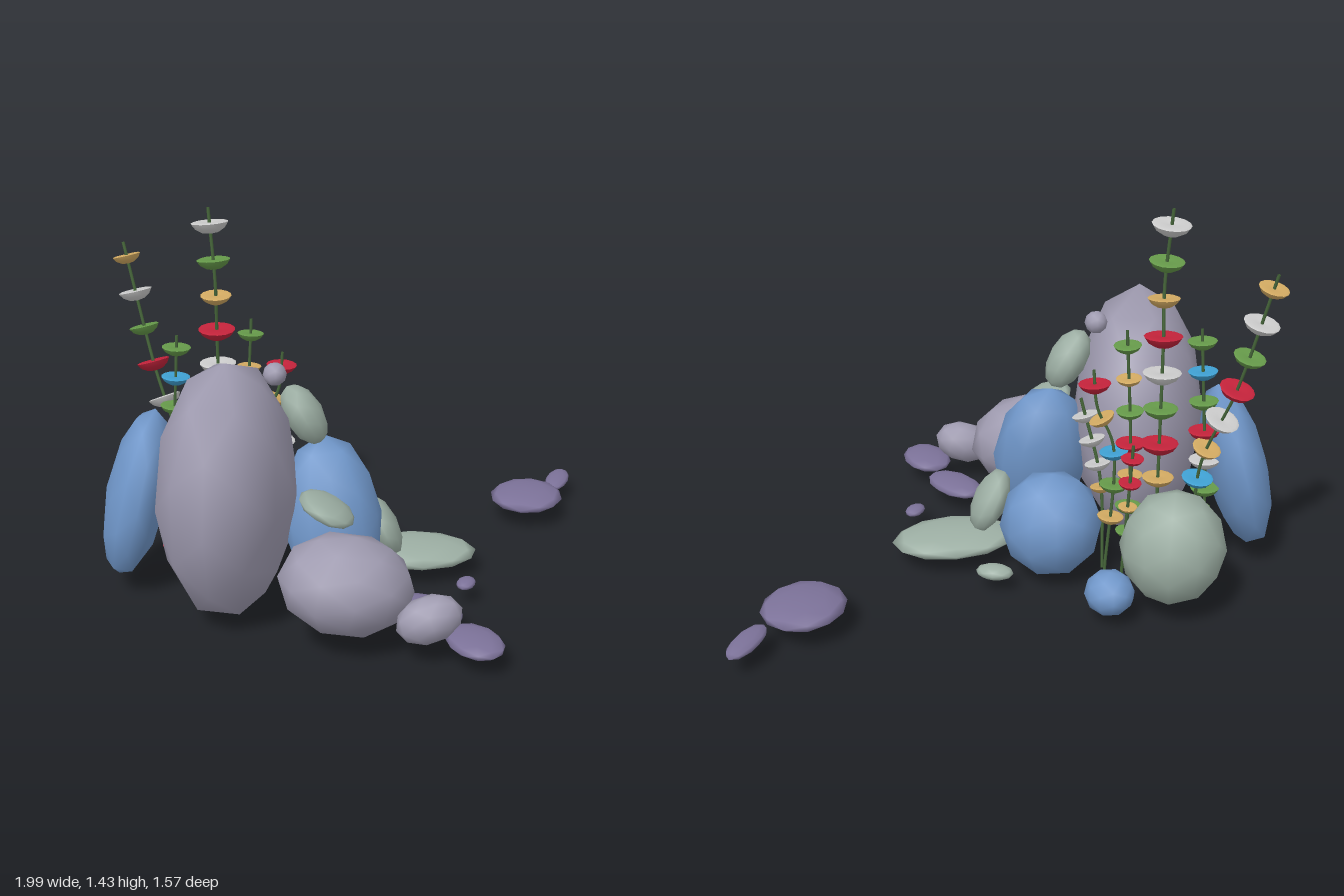
import * as THREE from 'three';

const mat = (color) => new THREE.MeshStandardMaterial({ color, side: THREE.DoubleSide });
const M = {
  stone: mat(0x9f9bb0), blue: mat(0x7097ca), moss: mat(0x9dafa4), violet: mat(0x7c7299),
  red: mat(0xc4233b), green: mat(0x669a4a), tan: mat(0xd2aa62), grey: mat(0xbebebe),
  cyan: mat(0x3fa0d2), stem: mat(0x46663a),
};

// Rocks are stretched low-poly spheres with smooth normals
const rockGeo = new THREE.IcosahedronGeometry(1, 1);
function rock(parent, name, material, position, size, { pitch = 0, yaw = 0, roll = 0 } = {}) {
  const mesh = new THREE.Mesh(rockGeo, M[material]);
  mesh.name = name;
  mesh.position.set(...position);
  mesh.scale.set(...size);
  mesh.rotation.set(pitch, yaw, roll);
  parent.add(mesh);
}

// Flat ground stones: resting height and thickness follow from the width
function flatStone(parent, name, x, z, width, length, yaw) {
  const thickness = 0.012 + width * 0.16;
  rock(parent, name, 'violet', [x, 0.065 + thickness, z], [width, thickness, length], { yaw });
}

// Shallow cup: rounded underside, doubled rim for a crisp edge, dished top
const cupGeo = new THREE.LatheGeometry(
  [[0, -0.6], [0.45, -0.52], [0.8, -0.3], [1, 0], [1, 0], [0.85, 0.06], [0.35, 0.03], [0, -0.04]]
    .map(([x, y]) => new THREE.Vector2(x, y)), 14);
const cupWidth = { grey: 1.1, red: 1.1, green: 1, cyan: 1, tan: 0.92 };

// A stem threaded with evenly spaced cups, listed from the top down
function plant(parent, name, path, { top, step, radius, cups }) {
  const group = new THREE.Group();
  group.name = name;
  const curve = new THREE.CatmullRomCurve3(path.map((p) => new THREE.Vector3(...p)));
  const stem = new THREE.Mesh(new THREE.TubeGeometry(curve, 40, 0.006, 6), M.stem);
  stem.name = 'stem';
  group.add(stem);
  const up = new THREE.Vector3(0, 1, 0);
  cups.split(' ').forEach((color, i) => {
    // bisect for the place where the stem reaches the cup's height
    let lo = 0, hi = 1;
    for (let k = 0; k < 24; k++) {
      const mid = (lo + hi) / 2;
      if (curve.getPoint(mid).y < top - i * step) lo = mid; else hi = mid;
    }
    const cup = new THREE.Mesh(cupGeo, M[color]);
    cup.name = 'cup';
    cup.position.copy(curve.getPoint(lo));
    cup.quaternion.setFromUnitVectors(up, curve.getTangent(lo));
    cup.scale.setScalar(radius * cupWidth[color]);
    group.add(cup);
  });
  parent.add(group);
}

export function createModel() {
  const model = new THREE.Group();
  model.name = 'rockGarden';

  // Grey-violet boulders
  rock(model, 'mainBoulder', 'stone', [-0.53, 0.5, 0.17], [0.25, 0.5, 0.36], { pitch: 0.12, yaw: -0.3 });
  rock(model, 'frontBoulder', 'stone', [-0.145, 0.255, 0.485], [0.245, 0.18, 0.2], { roll: -0.2 });
  rock(model, 'frontStone', 'stone', [0.12, 0.175, 0.63], [0.12, 0.085, 0.08], { roll: 0.3 });
  rock(model, 'topPebble', 'stone', [-0.345, 0.9, 0.09], [0.043, 0.043, 0.043]);

  // Blue rocks
  rock(model, 'rightSideSlab', 'blue', [-0.855, 0.39, -0.11], [0.115, 0.34, 0.21], { roll: -0.25 });
  rock(model, 'middleSlab', 'blue', [-0.15, 0.345, 0.13], [0.185, 0.315, 0.15], { pitch: -0.22, roll: 0.08 });
  rock(model, 'leftBoulder', 'blue', [-0.15, 0.23, -0.21], [0.19, 0.2, 0.185]);
  rock(model, 'backPebble', 'blue', [-0.32, 0.12, -0.535], [0.09, 0.08, 0.095]);

  // Mossy rocks
  rock(model, 'backBoulder', 'moss', [-0.545, 0.275, -0.505], [0.19, 0.21, 0.185], { yaw: 0.3 });
  rock(model, 'upperMoss', 'moss', [-0.245, 0.75, 0.11], [0.07, 0.125, 0.09], { roll: 0.5 });
  rock(model, 'slopeMoss', 'moss', [-0.195, 0.485, 0.35], [0.105, 0.035, 0.135], { roll: -0.4 });
  rock(model, 'sideMoss', 'moss', [0.06, 0.235, -0.02], [0.06, 0.13, 0.115], { roll: 0.45 });
  rock(model, 'flatMoss', 'moss', [0.2, 0.1, -0.055], [0.235, 0.04, 0.155], { roll: -0.05 });
  rock(model, 'smallMoss', 'moss', [0.065, 0.08, -0.29], [0.07, 0.027, 0.045], { yaw: -0.3 });

  // Flat stones on the ground
  flatStone(model, 'frontFlatStone', 0.275, 0.66, 0.095, 0.13, 0.3);
  flatStone(model, 'middleFlatStone', 0.17, 0.405, 0.085, 0.14, 0.64);
  flatStone(model, 'flatPebble', 0.34, 0.21, 0.035, 0.05, -0.5);
  flatStone(model, 'farStone', 0.75, -0.5, 0.15, 0.165, -0.4);
  flatStone(model, 'farPebble', 0.935, -0.685, 0.048, 0.115, -0.45);

  // Plants
  plant(model, 'tallPlant', [[-0.53, 0.05, -0.27], [-0.53, 0.95, -0.255], [-0.53, 1.15, -0.235], [-0.545, 1.43, -0.258]],
    { top: 1.375, step: 0.135, radius: 0.063, cups: 'grey green tan red grey green red tan green' });
  plant(model, 'leaningPlant', [[-0.69, 0.05, -0.24], [-0.68, 0.45, -0.265], [-0.77, 0.81, -0.38], [-0.86, 1.26, -0.475]],
    { top: 1.21, step: 0.132, radius: 0.058, cups: 'tan grey green red grey tan cyan green red' });
  plant(model, 'shortPlant', [[-0.4, 0.05, -0.31], [-0.42, 0.6, -0.355]],
    { top: 0.55, step: 0.1, radius: 0.038, cups: 'red red tan green' });
  plant(model, 'middlePlant', [[-0.42, 0.05, -0.25], [-0.43, 0.5, -0.25], [-0.4, 1, -0.265]],
    { top: 0.945, step: 0.127, radius: 0.05, cups: 'green tan green red tan green' });
  plant(model, 'bentPlant', [[-0.34, 0.05, -0.29], [-0.36, 0.57, -0.285], [-0.3, 0.72, -0.28], [-0.285, 0.86, -0.275]],
    { top: 0.81, step: 0.13, radius: 0.053, cups: 'red tan cyan green tan' });
  plant(model, 'greyPlant', [[-0.34, 0.05, -0.24], [-0.33, 0.4, -0.2], [-0.26, 0.7, -0.15]],
    { top: 0.64, step: 0.09, radius: 0.045, cups: 'grey grey grey tan' });
  plant(model, 'rightPlant', [[-0.71, 0.05, -0.22], [-0.72, 0.3, -0.21], [-0.68, 0.97, -0.195]],
    { top: 0.925, step: 0.115, radius: 0.054, cups: 'green cyan green red grey green tan red' });
  return model;
}
